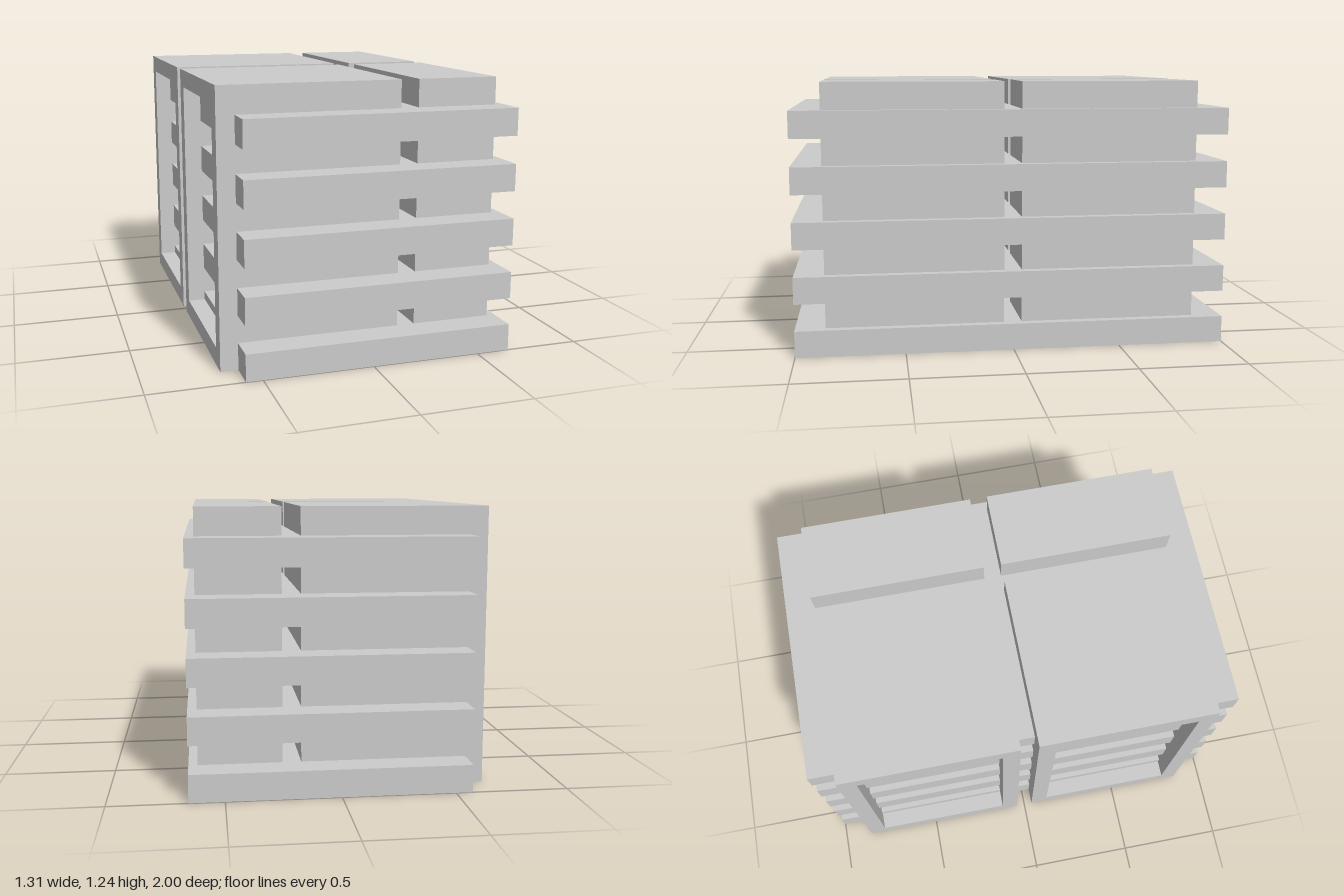
import * as THREE from 'three';

const material = new THREE.MeshStandardMaterial({ color: 0xcccccc, flatShading: true });

// Box given by its minimum and maximum corners
function box(name, [x0, y0, z0], [x1, y1, z1]) {
  const mesh = new THREE.Mesh(new THREE.BoxGeometry(x1 - x0, y1 - y0, z1 - z0), material);
  mesh.position.set((x0 + x1) / 2, (y0 + y1) / 2, (z0 + z1) / 2);
  mesh.name = name;
  return mesh;
}

function rect(path, x0, y0, x1, y1) {
  path.moveTo(x0, y0);
  path.lineTo(x1, y0);
  path.lineTo(x1, y1);
  path.lineTo(x0, y1);
  path.closePath();
  return path;
}

export function createModel() {
  const model = new THREE.Group();
  model.name = 'slattedBuilding';

  const height = 1.237, slab = 0.123, pitch = 0.2475;
  const wall = 0.082, recess = 0.164;
  const zIn = 0.041, zOut = 0.862;
  const xBack = -0.655;

  // Five floor slabs that run through all the towers
  for (let i = 0; i < 5; i++) {
    const y = i * pitch;
    model.add(box('floorSlab', [-0.575, y, -1], [0.655, y + slab, 1]));
  }

  // Picture-frame surround of the window recess
  const frameShape = rect(new THREE.Shape(), zIn, 0, zOut, height);
  frameShape.holes.push(rect(new THREE.Path(), zIn + wall, wall, zOut - wall, height - wall));
  const frameGeometry = new THREE.ExtrudeGeometry(frameShape, { depth: recess, bevelEnabled: false });
  frameGeometry.rotateY(-Math.PI / 2); // shape x becomes z, depth becomes -x

  for (const side of [1, -1]) {
    const z0 = side > 0 ? zIn : -zOut;
    const z1 = side > 0 ? zOut : -zIn;

    // Large tower: solid core behind a framed opening
    const tower = new THREE.Group();
    tower.name = 'largeTower';
    tower.add(box('towerCore', [xBack + recess, 0, z0], [0.163, height, z1]));
    const frame = new THREE.Mesh(frameGeometry, material);
    frame.name = 'windowFrame';
    frame.position.set(xBack + recess, 0, side > 0 ? 0 : -(zIn + zOut));
    tower.add(frame);
    model.add(tower);

    // Small tower, standing on the lowest slab
    model.add(box('smallTower', [0.245, slab / 2, z0], [0.615, height, z1]));
  }
  return model;
}
